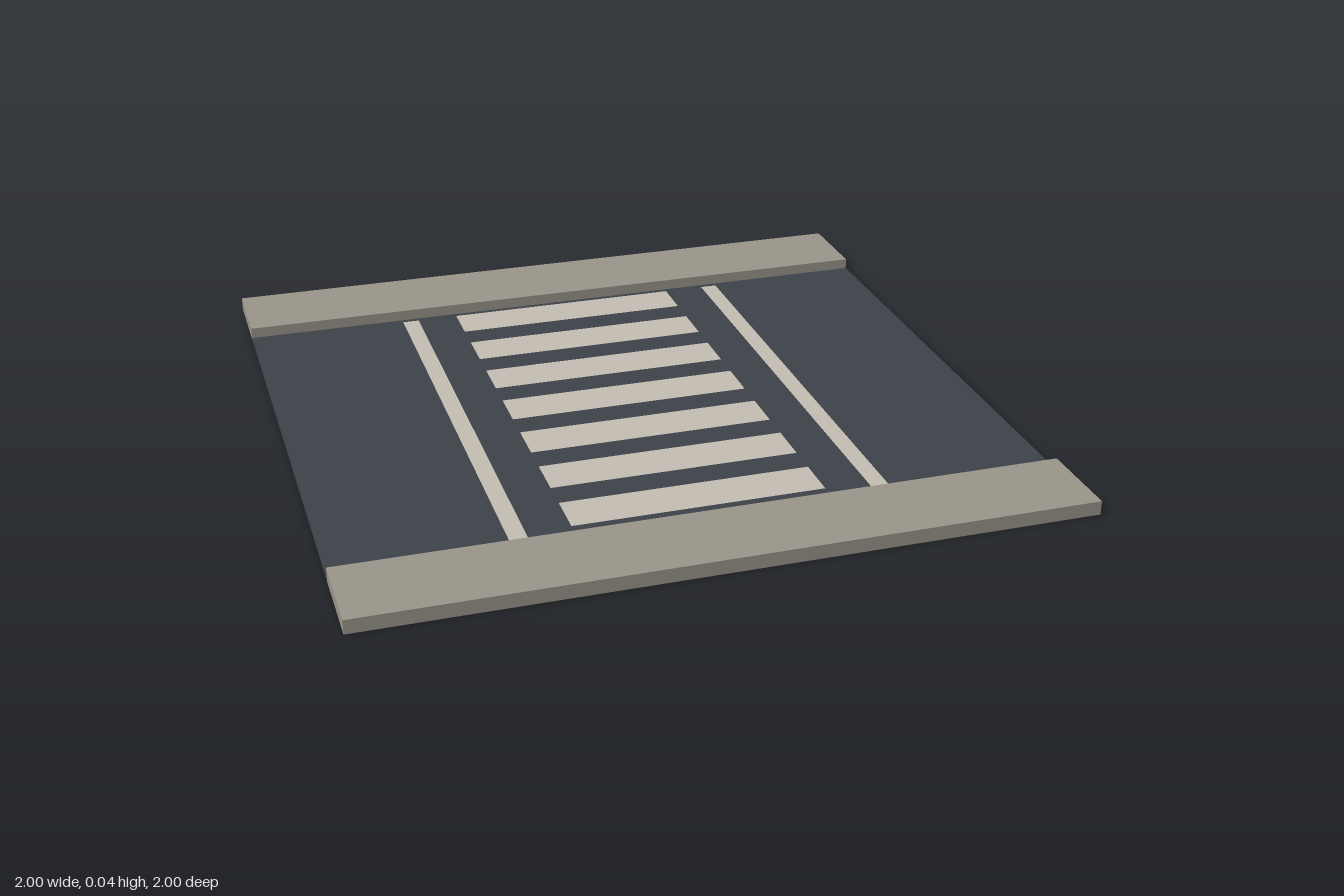
import * as THREE from 'three';

const material = (name, color, side = THREE.FrontSide) => {
  const m = new THREE.MeshStandardMaterial({ color, side });
  m.name = name;
  return m;
};

// Box standing on y = 0 with its underside left open
function openTray(width, height, depth) {
  const geometry = new THREE.BoxGeometry(width, height, depth).translate(0, height / 2, 0);
  const index = Array.from(geometry.index.array);
  index.splice(18, 6); // the downward face
  geometry.setIndex(index);
  geometry.clearGroups();
  return geometry;
}

export function createModel() {
  const group = new THREE.Group();
  group.name = 'crosswalk';

  const asphalt = material('asphalt', 0x3d434a, THREE.DoubleSide);
  const concrete = material('concrete', 0x9b968b, THREE.DoubleSide);
  const paint = material('road paint', 0xc4beb4);

  const add = (name, geometry, mat, x = 0, y = 0, z = 0) => {
    const mesh = new THREE.Mesh(geometry, mat);
    mesh.name = name;
    mesh.position.set(x, y, z);
    group.add(mesh);
  };

  // Road surface
  add('road', openTray(2, 0.008, 1.5), asphalt);

  // Raised sidewalks at front and back
  const sidewalk = openTray(2, 0.04, 0.25);
  add('frontSidewalk', sidewalk, concrete, 0, 0, 0.875);
  add('backSidewalk', sidewalk, concrete, 0, 0, -0.875);

  // Flat painted markings just above the road
  const marking = (w, d) => new THREE.PlaneGeometry(w, d).rotateX(-Math.PI / 2);
  const markingY = 0.0105;

  // Seven crossing bars
  const bar = marking(0.706, 0.128);
  for (let i = 0; i < 7; i++) {
    add(`crossingBar${i + 1}`, bar, paint, 0, markingY, -0.665 + i * 0.213);
  }

  // Border lines on either side
  const line = marking(0.05, 1.455);
  add('leftBorderLine', line, paint, 0.5, markingY, -0.001);
  add('rightBorderLine', line, paint, -0.5, markingY, -0.001);

  return group;
}
